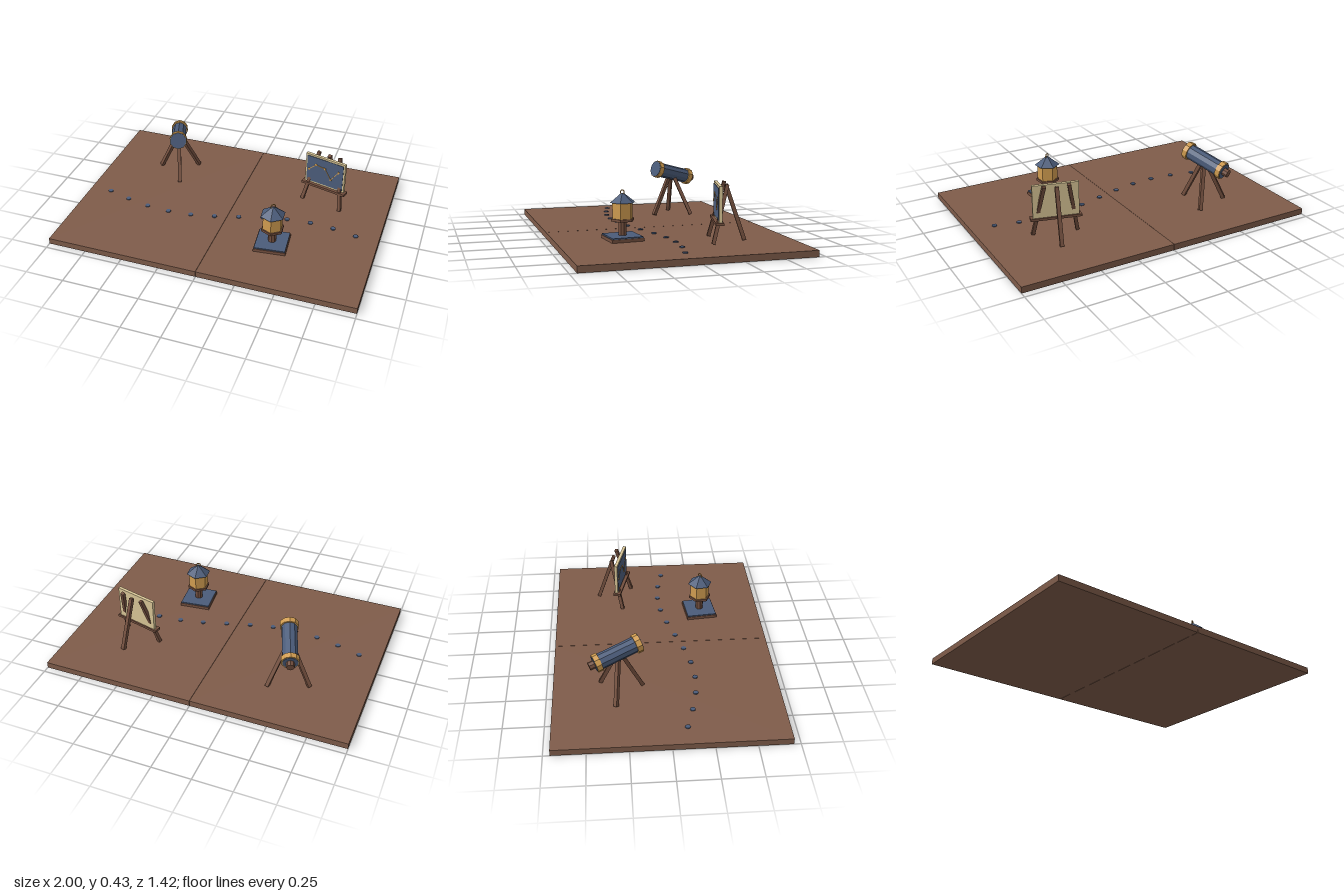
import * as THREE from 'three';

const mat = (name, color) => {
  const m = new THREE.MeshStandardMaterial({ color, flatShading: true });
  m.name = name;
  return m;
};

export function createModel() {
  const floorBrown = mat('floor brown', 0x7f5c4a);
  const wood = mat('wood brown', 0x74503f);
  const blue = mat('slate blue', 0x4b5c7a);
  const gold = mat('warm gold', 0xd09c50);
  const cream = mat('cream', 0xd8c596);

  const model = new THREE.Group();
  model.name = 'observatoryDiorama';

  const group = (name, x, z, yaw) => {
    const g = new THREE.Group();
    g.name = name;
    g.position.set(x, 0, z);
    g.rotation.y = yaw;
    model.add(g);
    return g;
  };
  const add = (parent, name, geometry, material, x = 0, y = 0, z = 0) => {
    const m = new THREE.Mesh(geometry, material);
    m.name = name;
    m.position.set(x, y, z);
    parent.add(m);
    return m;
  };
  const box = (w, h, d) => new THREE.BoxGeometry(w, h, d);
  const cyl = (rTop, rBottom, h, sides) => new THREE.CylinderGeometry(rTop, rBottom, h, sides);

  // Square bar running between two points
  const bar = (parent, name, from, to, size, material) => {
    const a = new THREE.Vector3(...from), b = new THREE.Vector3(...to);
    const m = add(parent, name, box(size, a.distanceTo(b), size), material);
    m.position.copy(a).add(b).multiplyScalar(0.5);
    m.quaternion.setFromUnitVectors(new THREE.Vector3(0, 1, 0), b.sub(a).normalize());
    return m;
  };

  // Floor: two slabs meeting at a fine seam
  for (const s of [-1, 1]) {
    add(model, s > 0 ? 'floorLeft' : 'floorRight', box(0.999, 0.04, 1.416), floorBrown, s * 0.5005, 0.02, 0);
  }

  // Winding line of flat stepping discs
  for (let i = 0; i < 12; i++) {
    add(model, 'steppingDisc', cyl(0.017, 0.017, 0.006, 8), blue,
      -0.855 + i * 0.155, 0.043, 0.1 + 0.09 * Math.sin(i * Math.PI / 6));
  }

  // Lantern on a square plinth
  const lantern = group('lantern', 0.363, 0.295, 0.1);
  add(lantern, 'plinth', box(0.206, 0.02, 0.206), wood, 0, 0.05, 0);
  add(lantern, 'plinthTop', box(0.198, 0.008, 0.198), blue, 0, 0.064, 0);
  add(lantern, 'post', cyl(0.026, 0.026, 0.09, 8), wood, 0, 0.112, 0);
  add(lantern, 'platform', cyl(0.075, 0.075, 0.016, 6), wood, 0, 0.164, 0);
  add(lantern, 'lampGlass', cyl(0.066, 0.066, 0.098, 6), gold, 0, 0.221, 0);
  add(lantern, 'roof', cyl(0.008, 0.082, 0.057, 6), blue, 0, 0.2985, 0);
  add(lantern, 'carryRing', new THREE.TorusGeometry(0.015, 0.0035, 6, 12), gold, 0, 0.331, 0)
    .rotation.y = 0.5;

  // Telescope: tripod, then a tilted tube
  const telescope = group('telescope', -0.495, -0.291, 0.35);
  for (let i = 0; i < 3; i++) {
    const a = i * Math.PI * 2 / 3, s = Math.sin(a), c = Math.cos(a);
    bar(telescope, 'tripodLeg', [s * 0.02, 0.315, c * 0.02], [s * 0.153, 0.045, c * 0.153], 0.024, wood);
  }
  const tube = new THREE.Group();
  tube.name = 'telescopeTube';
  tube.position.y = 0.34;
  tube.rotation.x = Math.PI / 2 - 0.25;
  telescope.add(tube);
  add(tube, 'barrel', cyl(0.05, 0.05, 0.306, 10), blue, 0, -0.01, 0);
  add(tube, 'frontRing', cyl(0.06, 0.06, 0.034, 10), gold, 0, 0.126, 0);
  add(tube, 'lens', cyl(0.056, 0.056, 0.004, 10), blue, 0, 0.144, 0);
  add(tube, 'rearRing', cyl(0.058, 0.058, 0.034, 10), gold, 0, -0.143, 0);
  add(tube, 'eyepiece', cyl(0.026, 0.026, 0.05, 8), wood, 0, -0.172, 0);

  // Easel with a star chart
  const easel = group('easel', 0.563, -0.25, -0.25);
  for (const s of [-1, 1]) {
    bar(easel, 'frontLeg', [s * 0.14, 0.045, 0.042], [s * 0.076, 0.393, -0.045], 0.022, wood);
  }
  bar(easel, 'backLeg', [0, 0.045, -0.162], [0, 0.385, -0.045], 0.024, wood);
  add(easel, 'shelf', box(0.318, 0.016, 0.05), wood, 0, 0.166, 0.006);
  add(easel, 'chartFrame', box(0.288, 0.216, 0.02), cream, 0, 0.281, 0);
  add(easel, 'chartPanel', box(0.266, 0.192, 0.006), blue, 0, 0.281, 0.01);

  // Stars joined by thin lines
  const stars = [[-0.116, 0.275], [-0.066, 0.323], [0, 0.313], [0.046, 0.243], [0.1, 0.318]];
  stars.forEach(([x, y], i) => {
    add(easel, 'star', cyl(0.008, 0.008, 0.004, 6), gold, x, y, 0.0145).rotation.x = Math.PI / 2;
    if (i) bar(easel, 'starLine', [...stars[i - 1], 0.0135], [x, y, 0.0135], 0.004, gold);
  });

  return model;
}
